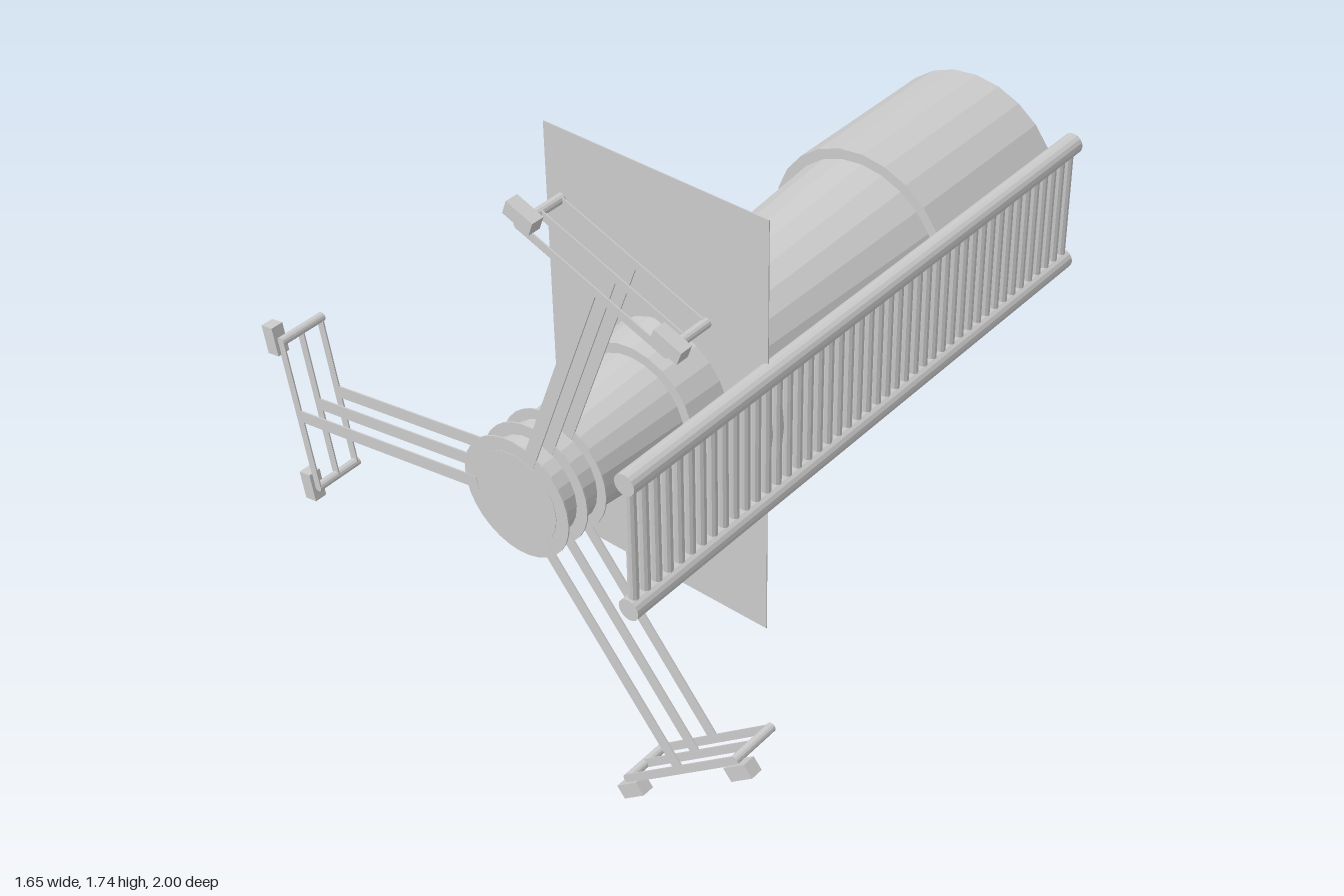
import * as THREE from 'three';

const CX = 0.064, CY = 0.84; // main axis of the body, running along z

const grey = new THREE.MeshStandardMaterial({ color: 0xcccccc, flatShading: true, side: THREE.DoubleSide });

function add(parent, name, geometry, x = 0, y = 0, z = 0) {
  const mesh = new THREE.Mesh(geometry, grey);
  mesh.name = name;
  mesh.position.set(x, y, z);
  parent.add(mesh);
  return mesh;
}

// Cylinder or cone along z, from the back radius at z0 to the front radius at z1
function rod(rBack, rFront, z0, z1, sides = 24) {
  return new THREE.CylinderGeometry(rFront, rBack, z1 - z0, sides)
    .rotateX(Math.PI / 2)
    .translate(0, 0, (z0 + z1) / 2);
}

export function createModel() {
  const model = new THREE.Group();

  // Stepped, tapering body
  const body = new THREE.Group();
  body.name = 'body';
  body.position.set(CX, CY, 0);
  model.add(body);
  add(body, 'rearDrum', rod(0.302, 0.302, -1, -0.44));
  add(body, 'taperedBarrel', rod(0.27, 0.2, -0.44, 0.54));
  add(body, 'noseCone', rod(0.17, 0.135, 0.54, 0.99));

  // Pair of flanges behind the wall panel
  for (const z of [0.352, 0.398]) add(body, 'flange', rod(0.345, 0.345, z - 0.003, z + 0.003, 32));

  // Thin wall panel around the barrel
  const panel = new THREE.Shape();
  panel.moveTo(-0.335, 0.175).lineTo(0.402, 0.175).lineTo(0.402, 1.505).lineTo(-0.335, 1.505).closePath();
  panel.holes.push(new THREE.Path().absarc(CX, CY, 0.205, 0, Math.PI * 2, true));
  add(model, 'wallPanel',
    new THREE.ExtrudeGeometry(panel, { depth: 0.003, bevelEnabled: false, curveSegments: 24 }), 0, 0, 0.406);

  // Three thin hub discs, one per layer of the arms
  const layers = [0.848, 0.918, 0.987];
  for (const z of layers) add(body, 'hubDisc', rod(0.175, 0.175, z - 0.002, z + 0.002, 32));

  // Three arms, each a stack of T-shaped strips joined by end pins with pads
  for (let i = 0; i < 3; i++) {
    const arm = new THREE.Group();
    arm.name = 'arm';
    arm.rotation.z = THREE.MathUtils.degToRad(69.6 + 120 * i);
    body.add(arm);
    for (const z of layers) {
      add(arm, 'armStrip', new THREE.BoxGeometry(0.67, 0.037, 0.004), 0.47, 0, z + 0.001);
      add(arm, 'crossStrip', new THREE.BoxGeometry(0.024, 0.465, 0.004), 0.81, 0, z + 0.001);
    }
    for (const side of [-1, 1]) {
      add(arm, 'endPin', rod(0.013, 0.013, 0.84, 0.99, 12), 0.81, side * 0.231);
      add(arm, 'pad', new THREE.BoxGeometry(0.04, 0.085, 0.038), 0.84, side * 0.232, 0.981);
    }
  }

  // Ladder along the left side
  const ladder = new THREE.Group();
  ladder.name = 'ladder';
  ladder.position.x = 0.406;
  model.add(ladder);
  for (const y of [0.642, 1.041]) add(ladder, 'ladderRail', rod(0.032, 0.032, -1, 0.966, 16), 0, y);
  const rungs = 45;
  const rung = new THREE.CylinderGeometry(0.015, 0.015, 0.4, 10);
  for (let i = 0; i < rungs; i++) {
    add(ladder, 'ladderRung', rung, 0, CY + 0.0015, -0.98 + (1.925 * i) / (rungs - 1));
  }

  return model;
}
